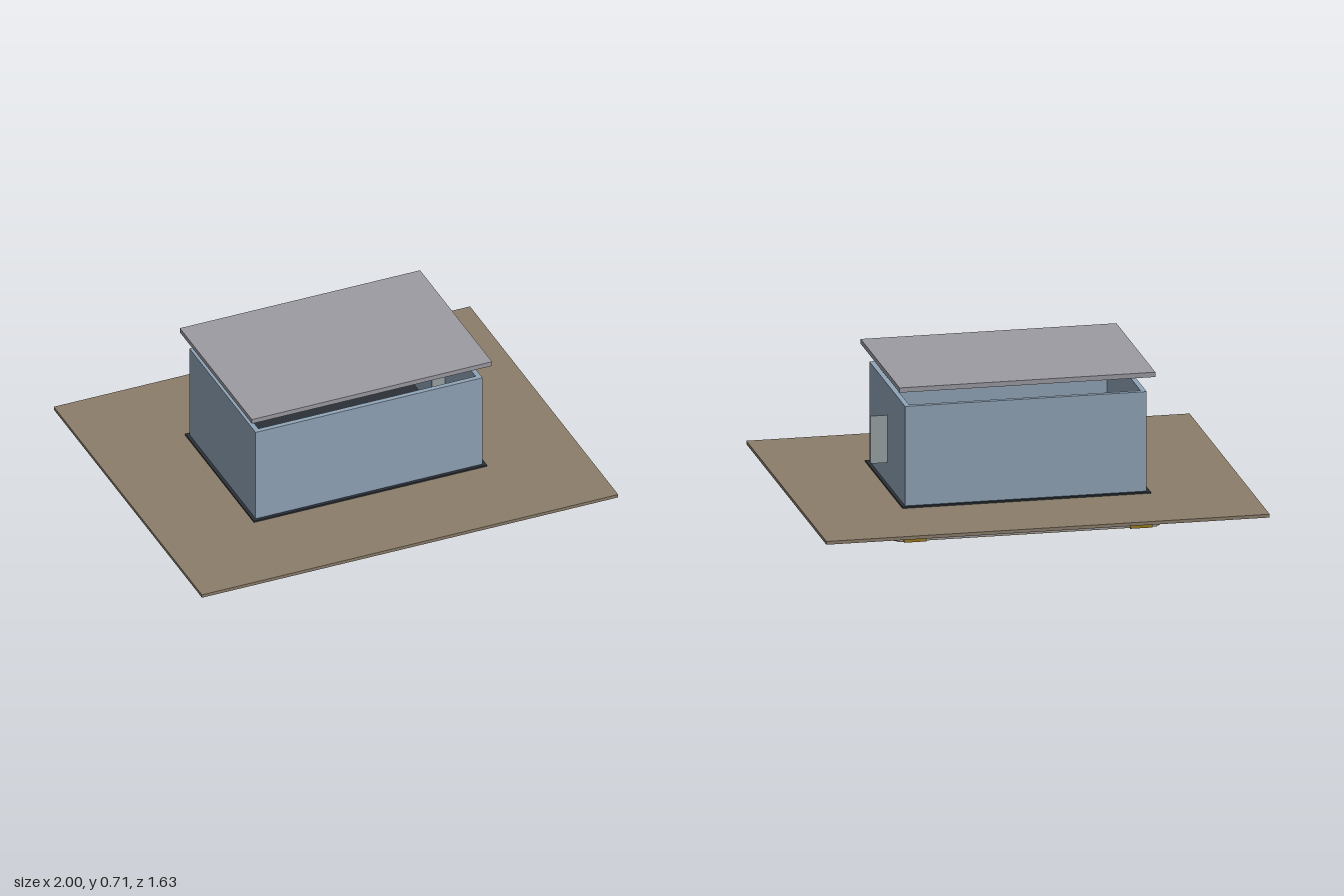
import * as THREE from 'three';

const material = (color) => new THREE.MeshStandardMaterial({ color });

const concrete = material(0x9b9ba2);
const timber = material(0x9a7a1e);
const soil = material(0x8b7d6a);
const wallPaint = material(0x91a5b8);
const membrane = material(0x2b3138);
const doorGrey = material(0x9aa3a6);

// Box given by its minimum and maximum along each axis
function block(name, mat, [x0, x1], [y0, y1], [z0, z1]) {
  const mesh = new THREE.Mesh(new THREE.BoxGeometry(x1 - x0, y1 - y0, z1 - z0), mat);
  mesh.position.set((x0 + x1) / 2, (y0 + y1) / 2, (z0 + z1) / 2);
  mesh.name = name;
  return mesh;
}

// Box centred on the vertical axis
const slab = (name, mat, x, y0, y1, z) => block(name, mat, [-x, x], [y0, y1], [-z, z]);

// Rectangular frame with an open middle, half sizes outside and inside
function frame(name, mat, x, z, ix, iz, y0, y1) {
  const rect = (path, a, b) => path.moveTo(-a, -b).lineTo(a, -b).lineTo(a, b).lineTo(-a, b).closePath();
  const shape = rect(new THREE.Shape(), x, z);
  shape.holes.push(rect(new THREE.Path(), ix, iz));
  const geometry = new THREE.ExtrudeGeometry(shape, { depth: y1 - y0, bevelEnabled: false });
  geometry.rotateX(-Math.PI / 2);
  const mesh = new THREE.Mesh(geometry, mat);
  mesh.position.y = y0;
  mesh.name = name;
  return mesh;
}

export function createModel() {
  const model = new THREE.Group();
  model.name = 'buildingOnFoundation';

  // Foundation: stepped concrete core, timber edge below and timber cap on top
  const foundation = new THREE.Group();
  foundation.name = 'foundation';
  foundation.add(
    slab('lowerFooting', concrete, 0.59, 0.004, 0.065, 0.405),
    slab('upperFooting', concrete, 0.572, 0.065, 0.112, 0.388),
    frame('bottomEdge', timber, 0.585, 0.4, 0.48, 0.295, 0, 0.004),
    slab('timberCap', timber, 0.6, 0.112, 0.132, 0.415),
  );

  // Two short posts beside each corner, one on each face
  for (const sx of [-1, 1]) {
    for (const sz of [-1, 1]) {
      const span = (s, a, b) => (s > 0 ? [a, b] : [-b, -a]);
      foundation.add(
        block('facePost', timber, span(sx, 0.46, 0.56), [0, 0.132], span(sz, 0.29, 0.415)),
        block('sidePost', timber, span(sx, 0.48, 0.6), [0, 0.132], span(sz, 0.28, 0.38)),
      );
    }
  }
  model.add(foundation);

  // Ground plate and dark sheet under the walls
  model.add(slab('ground', soil, 1, 0.132, 0.147, 0.817));
  model.add(slab('floorSheet', membrane, 0.56, 0.147, 0.154, 0.38));

  // Open-topped walls and the thin door leaf set across the side wall
  model.add(frame('walls', wallPaint, 0.545, 0.365, 0.522, 0.342, 0.152, 0.61));
  model.add(block('door', doorGrey, [0.46, 0.62], [0.25, 0.468], [-0.003, 0.003]));

  // Raised flat roof
  model.add(slab('roof', concrete, 0.577, 0.684, 0.706, 0.397));

  return model;
}
